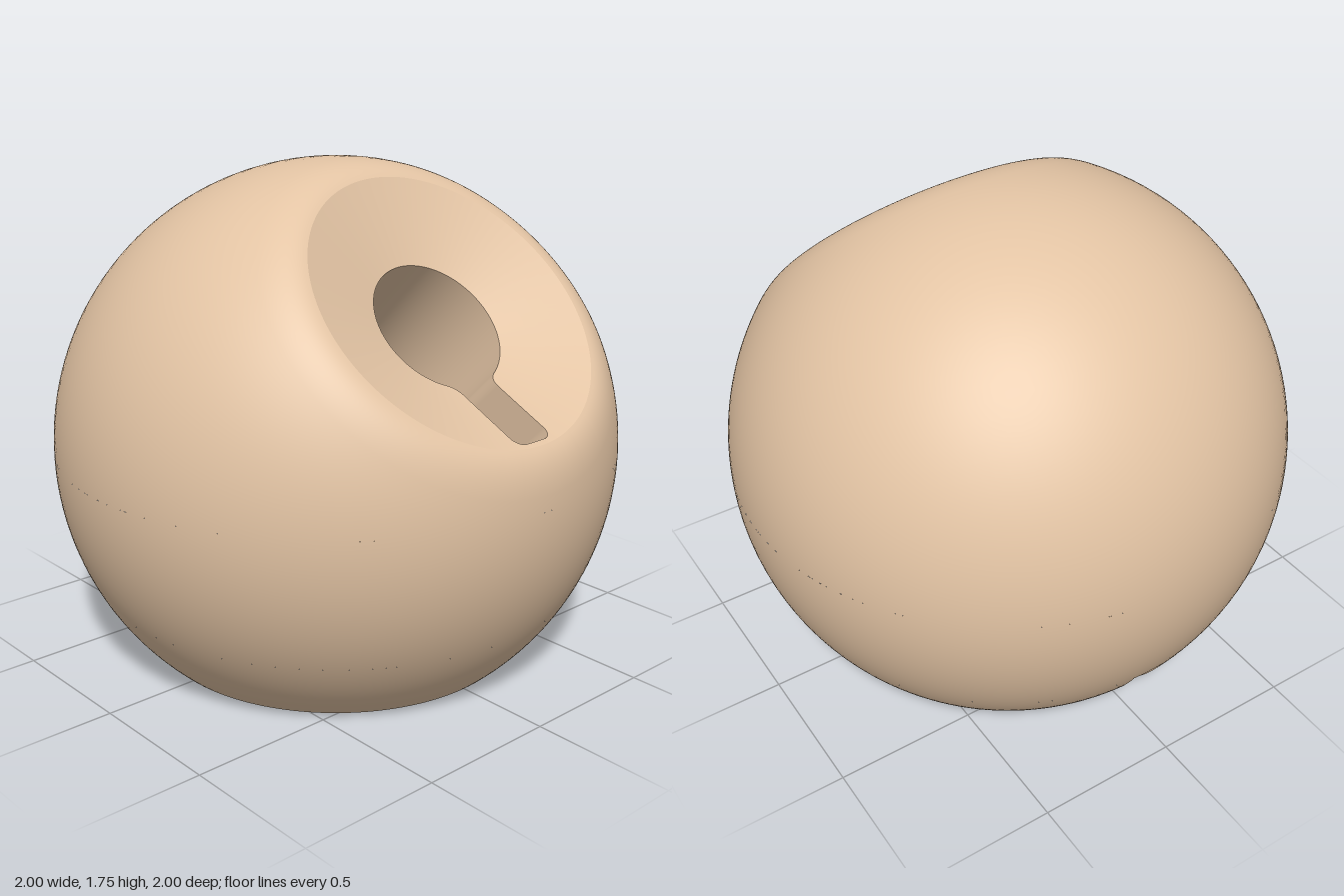
import * as THREE from 'three';
import { mergeVertices } from 'three/addons/utils/BufferGeometryUtils.js';

const CY = 0.75;          // height of the ball's centre, ball radius 1
const HOLE = 0.24;        // radius of both bores
const SLOT = 0.06, SLOT_TOP = 0.27; // rear cable slot: half width, ceiling
const Q = Math.SQRT1_2, BEND = Math.tan(Math.PI / 8);
const lerp = THREE.MathUtils.lerp;

export function createModel() {
  const group = new THREE.Group();
  const material = new THREE.MeshStandardMaterial({ color: 0xe3c4a4 });

  // Grid surface from a rule; front side is (d/di) x (d/dj)
  function sheet(name, ni, nj, rule, onBall = false) {
    const pos = [], index = [];
    for (let j = 0; j <= nj; j++) for (let i = 0; i <= ni; i++) pos.push(...rule(i, j));
    for (let j = 0; j < nj; j++) for (let i = 0; i < ni; i++) {
      const a = j * (ni + 1) + i, d = a + ni + 1;
      index.push(a, a + 1, d + 1, a, d + 1, d);
    }
    let geo = new THREE.BufferGeometry();
    geo.setAttribute('position', new THREE.Float32BufferAttribute(pos, 3));
    geo.setIndex(index);
    geo = mergeVertices(geo, 1e-5);
    geo.computeVertexNormals();
    if (onBall) {
      // exact normals keep the joins between ball sections invisible
      const p = new THREE.Vector3(), c = new THREE.Vector3(0, CY, 0);
      for (let k = 0; k < geo.attributes.position.count; k++) {
        p.fromBufferAttribute(geo.attributes.position, k).sub(c);
        if (Math.abs(p.length() - 1) < 1e-4) geo.attributes.normal.setXYZ(k, p.x, p.y, p.z);
      }
    }
    const mesh = new THREE.Mesh(geo, material);
    mesh.name = name;
    group.add(mesh);
  }

  // Tilted frame of the face: x across, v up the face, d out along its axis
  const tilt = (x, v, d) => [x, CY + Q * (v + d), Q * (d - v)];

  // Keyhole outline, clockwise from the top: bore, filleted slot, rounded end
  const path = new THREE.Path();
  const fv = -Math.sqrt(0.3 ** 2 - 0.14 ** 2);
  path.absarc(0, 0, HOLE, Math.PI / 2, Math.atan2(fv, 0.14), true);
  path.absarc(0.14, fv, 0.06, Math.atan2(-fv, -0.14), Math.PI, false);
  for (let k = 1; k <= 4; k++) path.lineTo(0.08, lerp(fv, -0.47, k / 4));
  path.absarc(0.04, -0.47, 0.04, 0, -Math.PI / 2, true);
  path.lineTo(0, -0.51);
  const half = path.getPoints(32);
  const outline = [...half, ...half.slice(0, -1).reverse().map(p => new THREE.Vector2(-p.x, p.y))];
  const n = outline.length - 1;
  const dishDepth = r => lerp(0.707, 0.812, (r - HOLE) / (0.53 - HOLE));
  const wallEnd = v => (v > -HOLE ? -BEND * v : 0.1 - 0.74 * (-v - HOLE));

  // Upper half of the ball: rounded rim, then sphere down to the equator
  const rim = new THREE.QuadraticBezierCurve(
    new THREE.Vector2(0.53, 0.812), new THREE.Vector2(0.592, 0.812),
    new THREE.Vector2(Math.sin(0.733), Math.cos(0.733))).getPoints(10);
  sheet('upperBall', n, 38, (i, j) => {
    const p = outline[i], r = p.length(), cx = p.x / r, cv = p.y / r;
    if (j <= 10) return tilt(rim[j].x * cx, rim[j].x * cv, rim[j].y);
    const t = lerp(0.733, Math.atan2(1, -cv), (j - 10) / 28);
    return tilt(Math.sin(t) * cx, Math.sin(t) * cv, Math.cos(t));
  }, true);

  // Shallow conical dish around the keyhole
  sheet('dish', n, 6, (i, j) => {
    const p = outline[i], len = p.length(), r = lerp(len, 0.53, j / 6);
    return tilt(p.x * r / len, p.y * r / len, dishDepth(r));
  });

  // Keyhole bore walls and the slot's floor
  sheet('keyholeBore', n, 4, (i, j) => {
    const p = outline[i];
    return tilt(p.x, p.y, lerp(wallEnd(p.y), dishDepth(p.length()), j / 4));
  });
  const slotPts = half.filter(p => p.y < -0.2 && p.x < 0.13).reverse();
  sheet('keyholeSlotFloor', 1, slotPts.length - 1, (i, j) => {
    const p = slotPts[j];
    return tilt(i ? p.x : -p.x, p.y, wallEnd(p.y));
  });

  // Rings about the vertical axis, optionally open at the back for the slot
  const SEG = 144;
  const ring = (i, r, y, open) => {
    const a = (Math.PI - (open ? Math.asin(SLOT / r) : 0)) * (2 * i / SEG - 1);
    return [r * Math.sin(a), y, r * Math.cos(a)];
  };
  const ballR = y => Math.sqrt(1 - (y - CY) ** 2);
  const band = (name, y0, y1, open) => sheet(name, SEG, 16, (i, j) => {
    const y = lerp(y0, y1, j / 16);
    return ring(i, ballR(y), y, open);
  }, true);
  band('lowerBall', SLOT_TOP, CY, false);
  band('ballFoot', 0, SLOT_TOP, true);
  sheet('base', SEG, 4, (i, j) => ring(i, lerp(HOLE, ballR(0), j / 4), 0, true));

  // Vertical bore, mitred to the tilted one
  sheet('baseBoreUpper', SEG, 4, (i, j) => {
    const [x, , z] = ring(i, HOLE, 0, false);
    return [x, lerp(CY - BEND * z, SLOT_TOP, j / 4), z];
  });
  sheet('baseBoreLower', SEG, 2, (i, j) => ring(i, HOLE, SLOT_TOP * (1 - j / 2), true));

  // Rear cable slot: two walls and a ceiling
  const back = (r, x) => -Math.sqrt(r * r - x * x);
  for (const s of [-1, 1]) {
    sheet(s > 0 ? 'leftSlotWall' : 'rightSlotWall', 4, 16, (i, j) => {
      const y = SLOT_TOP * (s < 0 ? j / 16 : 1 - j / 16);
      return [s * SLOT, y, lerp(back(HOLE, SLOT), back(ballR(y), SLOT), i / 4)];
    });
  }
  sheet('slotCeiling', 6, 2, (i, j) => {
    const x = SLOT * (i / 3 - 1);
    return [x, SLOT_TOP, lerp(back(ballR(SLOT_TOP), x), back(HOLE, x), j / 2)];
  });

  return group;
}
